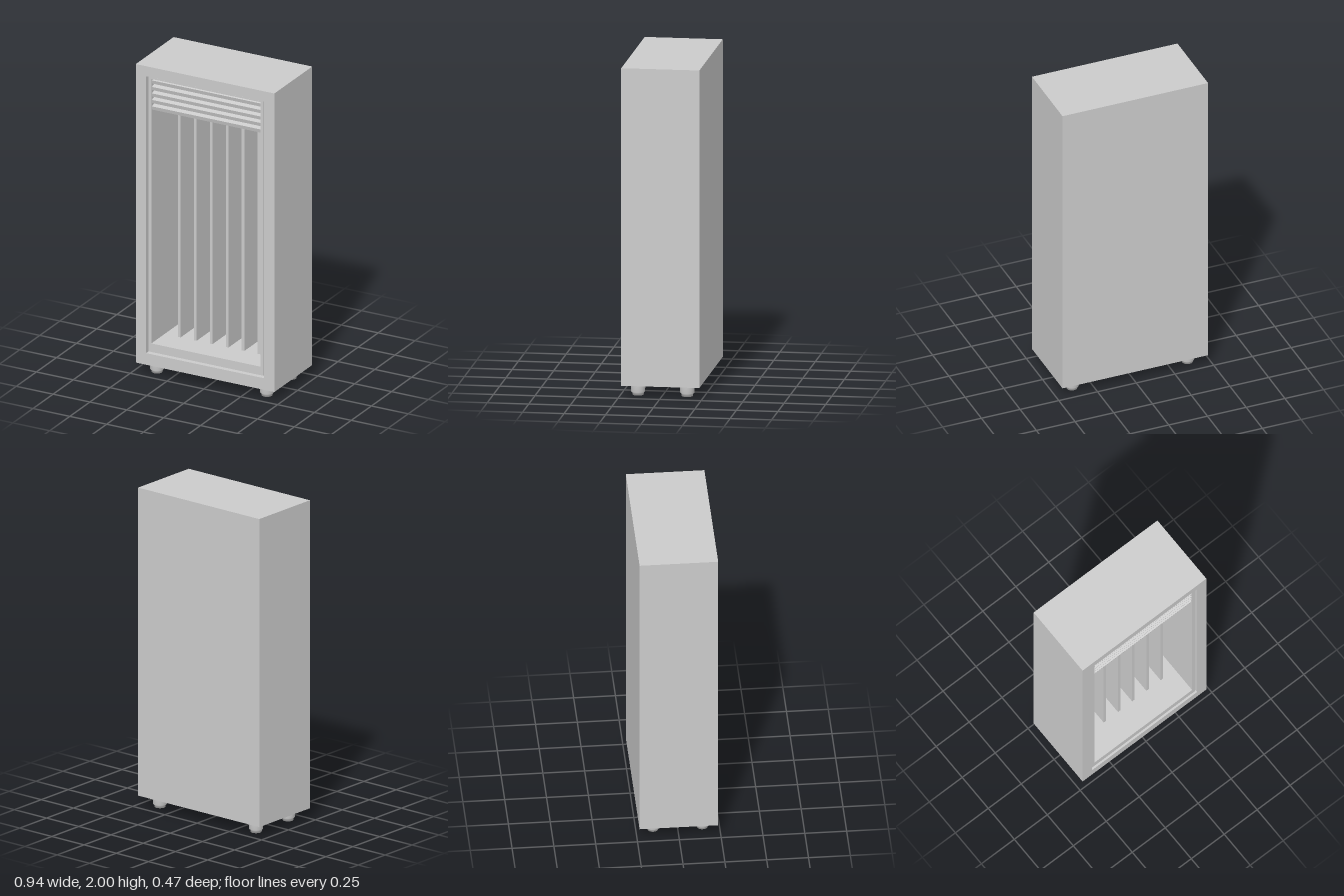
import * as THREE from 'three';

const material = new THREE.MeshStandardMaterial({ color: 0xcccccc, flatShading: true });
const smooth = new THREE.MeshStandardMaterial({ color: 0xcccccc });

// Rectangle path from corner coordinates
function rect(Type, x0, y0, x1, y1) {
  const p = new Type();
  p.moveTo(x0, y0);
  p.lineTo(x1, y0);
  p.lineTo(x1, y1);
  p.lineTo(x0, y1);
  p.closePath();
  return p;
}

// Rectangular ring extruded from z0 to z1
function ring(name, outer, inner, z0, z1) {
  const shape = rect(THREE.Shape, ...outer);
  shape.holes.push(rect(THREE.Path, ...inner));
  const geo = new THREE.ExtrudeGeometry(shape, { depth: z1 - z0, bevelEnabled: false });
  geo.translate(0, 0, z0);
  const mesh = new THREE.Mesh(geo, material);
  mesh.name = name;
  return mesh;
}

function box(name, w, h, d, x, y, z) {
  const mesh = new THREE.Mesh(new THREE.BoxGeometry(w, h, d), material);
  mesh.name = name;
  mesh.position.set(x, y, z);
  return mesh;
}

export function createModel() {
  const model = new THREE.Group();
  model.name = 'cabinet';

  // Outer casing: shell open at the front, closed by a back panel
  model.add(ring('casing', [-0.47, 0.07, 0.47, 2], [-0.4, 0.145, 0.4, 1.935], -0.2, 0.235));
  model.add(box('backPanel', 0.94, 1.93, 0.035, 0, 1.035, -0.2175));

  // Inner bezel, set off from the casing by a narrow groove
  model.add(ring('bezel', [-0.39, 0.155, 0.39, 1.93], [-0.37, 0.21, 0.37, 1.92], -0.2, 0.225));
  model.add(ring('grooveFloor', [-0.4, 0.145, 0.4, 1.935], [-0.39, 0.155, 0.39, 1.93], -0.2, 0.2));

  // Upright dividers inside the compartment
  const dividers = new THREE.Group();
  dividers.name = 'dividers';
  for (let i = 0; i < 6; i++) {
    dividers.add(box('divider', 0.018, 1.53, 0.26, -0.27 + i * 0.108, 0.975, -0.07));
  }
  model.add(dividers);

  // Ceiling of the compartment, behind the louvres
  model.add(box('compartmentCeiling', 0.74, 0.18, 0.37, 0, 1.83, -0.015));

  // Horizontal louvres across the top
  const louvres = new THREE.Group();
  louvres.name = 'louvres';
  for (let i = 0; i < 5; i++) {
    const slat = box('louvre', 0.74, 0.024, 0.045, 0, 1.735 + i * 0.042, 0.195);
    slat.rotation.x = 0.25;
    louvres.add(slat);
  }
  model.add(louvres);

  // Four stepped round feet
  const profile = [[0, 0], [0.033, 0], [0.035, 0.014], [0.042, 0.02], [0.044, 0.066], [0.044, 0.075]];
  const pts = profile.map(([r, y]) => new THREE.Vector2(r, y));
  const footGeo = new THREE.LatheGeometry(pts, 24);
  for (const x of [-0.373, 0.373]) {
    for (const z of [-0.148, 0.148]) {
      const foot = new THREE.Mesh(footGeo, smooth);
      foot.name = 'foot';
      foot.position.set(x, 0, z);
      model.add(foot);
    }
  }
  return model;
}
